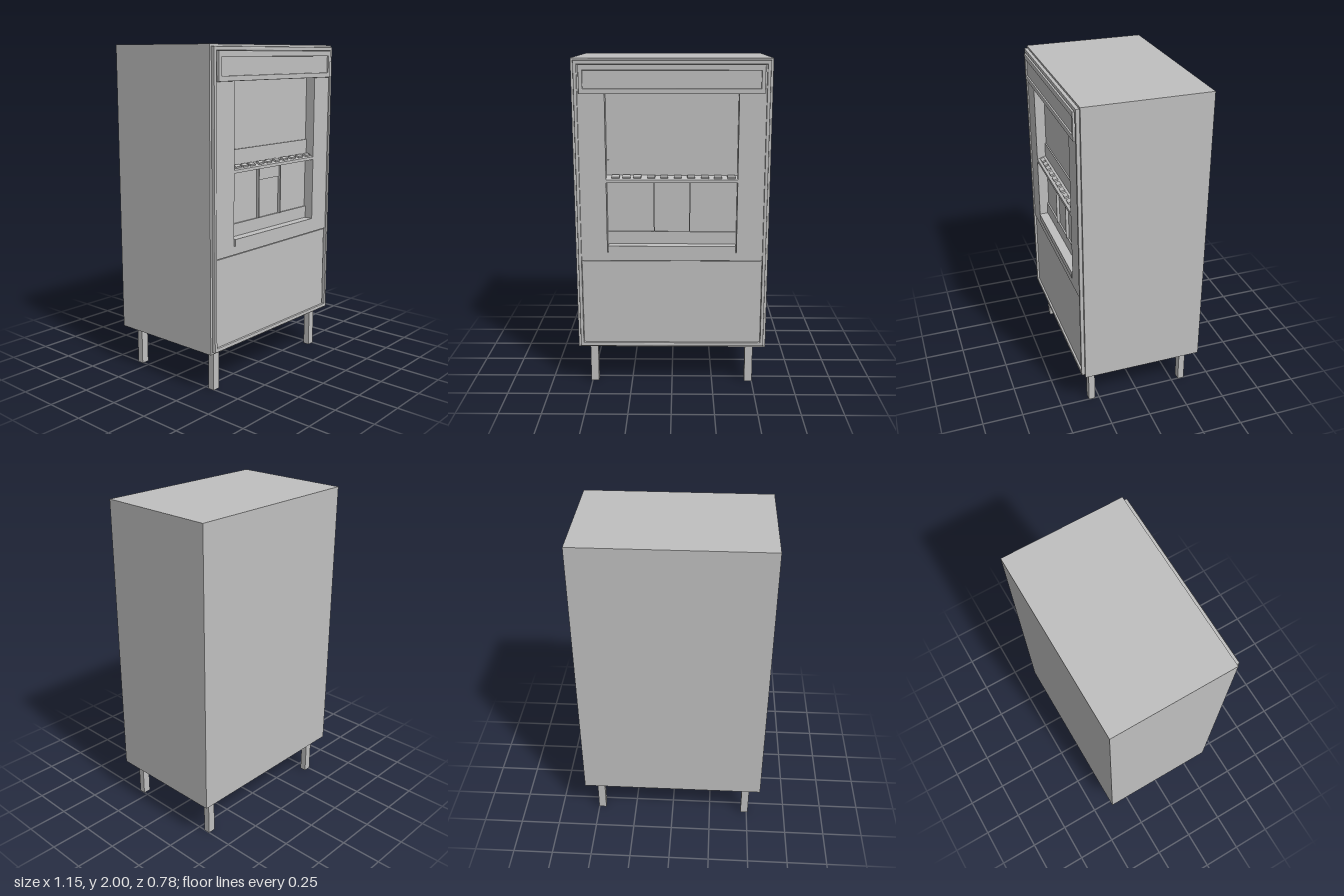
import * as THREE from 'three';

export function createModel() {
  const model = new THREE.Group();
  const grey = new THREE.MeshStandardMaterial({ color: 0xc0c0c0 });
  grey.name = 'grey';

  function add(name, geometry) {
    const mesh = new THREE.Mesh(geometry, grey);
    mesh.name = name;
    model.add(mesh);
    return mesh;
  }
  // Box given by its limits on each axis
  function box(name, x0, x1, y0, y1, z0, z1) {
    const mesh = add(name, new THREE.BoxGeometry(x1 - x0, y1 - y0, z1 - z0));
    mesh.position.set((x0 + x1) / 2, (y0 + y1) / 2, (z0 + z1) / 2);
    return mesh;
  }
  function rect(path, w, y0, y1) {
    path.moveTo(-w, y0);
    path.lineTo(w, y0);
    path.lineTo(w, y1);
    path.lineTo(-w, y1);
    path.closePath();
    return path;
  }
  // Rectangular frame: outer and inner are [half width, bottom, top]
  function frame(name, outer, inner, z0, z1, bevel = 0) {
    const [ow, ob, ot] = outer, [iw, ib, it] = inner;
    const shape = rect(new THREE.Shape(), ow - bevel, ob + bevel, ot - bevel);
    shape.holes.push(rect(new THREE.Path(), iw + bevel, ib - bevel, it + bevel));
    const geometry = new THREE.ExtrudeGeometry(shape, {
      depth: z1 - z0 - bevel, bevelEnabled: bevel > 0,
      bevelSize: bevel, bevelThickness: bevel, bevelSegments: 2,
    });
    geometry.translate(0, 0, z0);
    return add(name, geometry);
  }

  const opening = [0.385, 0.86, 1.82];
  const back = 0.31;

  // Cabinet with a shallow recess in the front
  box('cabinetBody', -0.575, 0.575, 0.25, 2, -0.39, back);
  frame('cabinetFrontRim', [0.575, 0.25, 2], opening, back, 0.36);

  // Door: raised trim, upper panel around the recess, lower panel
  frame('doorTrim', [0.56, 0.262, 1.988], [0.54, 0.285, 1.965], 0.36, 0.381, 0.005);
  frame('upperPanel', [0.54, 0.81, 1.965], opening, 0.36, 0.372);
  box('lowerPanel', -0.53, 0.53, 0.285, 0.805, 0.355, 0.368);

  // Header sign
  box('headerPanel', -0.53, 0.53, 1.805, 1.96, 0.36, 0.38);
  frame('headerFrame', [0.53, 1.8, 1.965], [0.507, 1.83, 1.932], 0.37, 0.39, 0.004);

  // Bands at the back of the recess
  box('upperBand', -0.385, 0.385, 1.3, 1.41, back - 0.01, back + 0.008);
  box('lowerBand', -0.385, 0.385, 0.89, 0.975, back - 0.01, back + 0.01);
  box('sill', -0.38, 0.38, 0.86, 0.9, back - 0.01, 0.376);

  // Chute between two ribs
  for (const s of [-1, 1]) {
    box('chuteRib', s * 0.105 - 0.004, s * 0.105 + 0.004, 0.975, 1.29, back - 0.01, back + 0.018);
  }
  box('chuteFlap', -0.101, 0.101, 1.205, 1.29, back - 0.01, back + 0.007);

  // Sloping button console, extruded across the recess
  const profile = new THREE.Shape([
    [-0.3, 1.284], [-0.372, 1.284], [-0.372, 1.302], [-0.3, 1.325],
  ].map(([x, y]) => new THREE.Vector2(x, y)));
  const consoleGeometry = new THREE.ExtrudeGeometry(profile, { depth: 0.77, bevelEnabled: false });
  consoleGeometry.rotateY(Math.PI / 2);
  // The rotation sends profile x to -z
  consoleGeometry.translate(-0.385, 0, 0);
  add('buttonConsole', consoleGeometry);

  const buttonX = [-0.33, -0.266, -0.203, -0.121, -0.045, 0.034, 0.113, 0.193, 0.269, 0.348];
  for (const x of buttonX) {
    const button = add('button', new THREE.BoxGeometry(0.046, 0.014, 0.026));
    button.position.set(x, 1.315, 0.346);
    button.rotation.x = Math.atan2(0.023, 0.072);
  }

  // Legs
  for (const x of [-0.484, 0.478]) {
    for (const z of [-0.315, 0.299]) {
      box('leg', x - 0.024, x + 0.024, 0, 0.255, z - 0.02, z + 0.02);
    }
  }
  return model;
}
